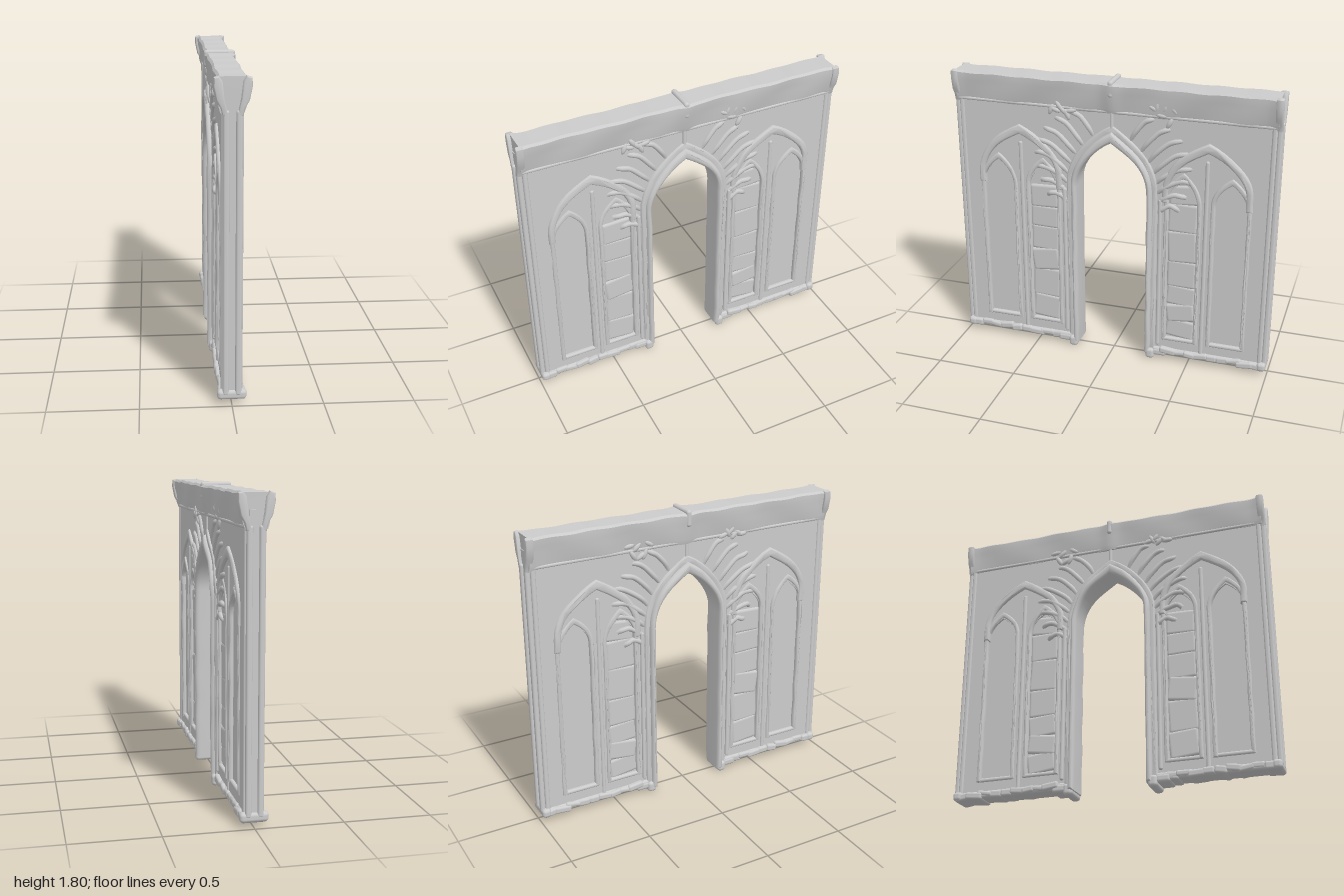
import * as THREE from 'three';
import { toCreasedNormals } from 'three/addons/utils/BufferGeometryUtils.js';
import { RoundedBoxGeometry } from 'three/addons/geometries/RoundedBoxGeometry.js';

const stone = new THREE.MeshStandardMaterial({ color: 0xcccccc, side: THREE.DoubleSide });
let seed = 7;
const rand = () => ((seed = (seed * 16807) % 2147483647) / 2147483647);

// weathering: nudge every vertex by a smooth function of its position
function wear(geo, amp) {
  const p = geo.attributes.position;
  for (let i = 0; i < p.count; i++) {
    const x = p.getX(i), y = p.getY(i), z = p.getZ(i);
    p.setXYZ(i,
      x + amp * Math.sin(y * 19 + z * 13),
      y + amp * 0.7 * Math.sin(z * 27 + x * 9),
      z + amp * 0.7 * Math.sin(y * 23 + x * 11));
  }
  return geo;
}

const shapeOf = (pts) => new THREE.Shape(pts.map(([x, y]) => new THREE.Vector2(x, y)));

// pointed-arch outline in (z, y), from one foot over the apex to the other
function archPts(c, hw, foot, spring, apex) {
  const half = [];
  for (let i = 0; i < 8; i++) half.push([hw, foot + (spring - foot) * i / 8]);
  const ctrl = spring + (apex - spring) * 0.58;
  for (let i = 0; i <= 10; i++) {
    const t = i / 10, s = 1 - t;
    half.push([hw * (s * s + 2 * s * t), s * s * spring + 2 * s * t * ctrl + t * t * apex]);
  }
  const right = half.map(([z, y]) => new THREE.Vector2(c + z, y));
  const left = half.slice(0, -1).reverse().map(([z, y]) => new THREE.Vector2(c - z, y));
  return [...right, ...left];
}

// extrude a (z, y) shape through the wall, centred on x = 0
function slab(shape, half, bevel = 0, amp = 0) {
  const geo = new THREE.ExtrudeGeometry(shape, {
    depth: 2 * (half - bevel), bevelEnabled: bevel > 0, bevelSize: bevel * 0.6,
    bevelOffset: -bevel * 0.6, bevelThickness: bevel, bevelSegments: 4,
  });
  geo.translate(0, 0, bevel - half).rotateY(-Math.PI / 2);
  return toCreasedNormals(wear(geo, amp), 0.8);
}

// arch-shaped moulding open at the foot
const archBand = (c, hw, width, foot, spring, apex, rise = width * 1.5) => new THREE.Shape([
  ...archPts(c, hw, foot, spring, apex),
  ...archPts(c, hw - width, foot, spring, apex - rise).reverse(),
]);

const wallShape = (edge, bottom, top) => new THREE.Shape([
  new THREE.Vector2(edge, bottom), new THREE.Vector2(edge, top),
  new THREE.Vector2(-edge, top), new THREE.Vector2(-edge, bottom),
  ...archPts(0, 0.235, bottom, 1.12, 1.44).reverse(),
]);

// frieze extruded along z, swelling at the keystone and towards both ends
function friezeGeometry() {
  const side = [[0.052, 1.6], [0.061, 1.63], [0.066, 1.69], [0.075, 1.73], [0.078, 1.775], [0.066, 1.788]];
  const profile = shapeOf([...side, ...side.map(([x, y]) => [-x, y]).reverse()]);
  const geo = new THREE.ExtrudeGeometry(profile, { depth: 1.95, steps: 80, bevelEnabled: false });
  geo.translate(0, 0, -0.975);
  const p = geo.attributes.position;
  for (let i = 0; i < p.count; i++) {
    const z = Math.abs(p.getZ(i));
    const swell = 0.2 * Math.exp(-((z / 0.045) ** 2)) + 0.15 * Math.exp(-(((z - 0.975) / 0.035) ** 2));
    p.setX(i, p.getX(i) * (1 + swell));
  }
  return toCreasedNormals(wear(geo, 0.003), 0.6);
}

export function createModel() {
  const model = new THREE.Group();
  const add = (name, geo, x = 0, y = 0, z = 0) => {
    const mesh = new THREE.Mesh(geo, stone);
    mesh.name = name;
    mesh.position.set(x, y, z);
    model.add(mesh);
    return mesh;
  };
  const block = (name, w, h, d, x, y, z, r = 0.012) =>
    add(name, new RoundedBoxGeometry(w, h, d, 3, r), x, y, z);

  // core and the tracery plate with its lancet recesses
  add('wallCore', slab(wallShape(0.98, 0.04, 1.7), 0.037));
  const plate = wallShape(0.965, 0.045, 1.62);
  for (const m of [1, -1]) {
    plate.holes.push(new THREE.Path(archPts(m * 0.73, 0.1, 0.16, 1.08, 1.23)));
    plate.holes.push(new THREE.Path(archPts(m * 0.44, 0.09, 0.16, 1.08, 1.22)));
  }
  add('traceryPlate', slab(plate, 0.051));

  // doorway moulding: rounded inner ring and a lower outer order
  add('doorMoulding', slab(archBand(0, 0.256, 0.037, 0.03, 1.12, 1.49, 0.07), 0.087, 0.03, 0.003), -0.003);
  add('doorOuterOrder', slab(archBand(0, 0.285, 0.045, 0.05, 1.13, 1.53, 0.06), 0.063, 0.016, 0.003));

  // frieze along the top with its lower string course
  add('frieze', friezeGeometry());
  block('stringCourse', 0.122, 0.02, 1.95, 0, 1.611, 0, 0.009);

  // keystone ridge over the apex and the slim stem beneath it
  block('keystone', 0.186, 0.1, 0.034, 0, 1.755, 0, 0.016);
  block('keystoneStem', 0.124, 0.2, 0.022, 0, 1.58, 0, 0.01);

  for (const m of [1, -1]) {
    // lancet frames, the large arch enclosing them and their sills
    add('outerLancetFrame', slab(archBand(m * 0.73, 0.122, 0.028, 0.14, 1.08, 1.28), 0.06, 0.014, 0.003));
    add('innerLancetFrame', slab(archBand(m * 0.44, 0.115, 0.028, 0.14, 1.08, 1.28), 0.06, 0.014, 0.003));
    add('enclosingArch', slab(archBand(m * 0.585, 0.272, 0.042, 1.08, 1.16, 1.48), 0.066, 0.02, 0.003));
    block('outerLancetSill', 0.116, 0.026, 0.24, 0, 0.152, m * 0.73);
    block('innerLancetSill', 0.116, 0.026, 0.23, 0, 0.152, m * 0.44);
    block('mullion', 0.12, 1.3, 0.026, 0, 0.72, m * 0.58, 0.012);
    block('doorShaft', 0.13, 1.0, 0.024, 0, 0.6, m * 0.302, 0.011);
    block('plinth', 0.132, 0.045, 0.71, 0, 0.062, m * 0.62, 0.018);

    // end post: two ribs with a groove between, flared capital lips and a foot
    for (const s of [1, -1]) {
      block('endPostRib', 0.034, 1.56, 0.032, s * 0.034, 0.84, m * 0.98, 0.013);
      block('endPostBead', 0.026, 1.55, 0.03, s * 0.046, 0.84, m * 0.952);
      const lip = shapeOf([[0.022, 1.59], [0.052, 1.59], [0.062, 1.63], [0.085, 1.67], [0.099, 1.74],
        [0.097, 1.785], [0.07, 1.792], [0.052, 1.765], [0.042, 1.68]].map(([x, y]) => [s * x, y]));
      const lipGeo = new THREE.ExtrudeGeometry(lip, {
        depth: 0.022, bevelSize: 0.008, bevelOffset: -0.008, bevelThickness: 0.01, bevelSegments: 3,
      });
      add('capitalLip', toCreasedNormals(lipGeo.translate(0, 0, -0.011), 0.8), 0, 0, m * 0.975);
    }
    block('endFoot', 0.16, 0.055, 0.055, 0, 0.062, m * 0.966, 0.02);
    block('doorFoot', 0.165, 0.07, 0.056, 0, 0.037, m * 0.256, 0.02);
    block('doorFootStep', 0.14, 0.05, 0.09, 0, 0.05, m * 0.315, 0.018);

    // worn rubble along the plinth
    for (let i = 0; i < 9; i++) {
      const b = block('plinthStone', 0.13 + rand() * 0.025, 0.03 + rand() * 0.02, 0.07 + rand() * 0.04,
        0, 0.056 + rand() * 0.014, m * (0.37 + i * 0.07), 0.014);
      b.rotation.x = (rand() - 0.5) * 0.4;
    }

    // low irregular stones filling the inner lancet
    let y = 0.17;
    while (y < 1.08) {
      const h = 0.11 + rand() * 0.09;
      const b = block('rubbleStone', 0.086 + rand() * 0.014, h + 0.02, 0.19, 0, y + h / 2, m * 0.44, 0.022);
      b.rotation.x = (rand() - 0.5) * 0.3;
      y += h;
    }

    // curved ribs fanning out from the door arch, on both faces
    for (const s of [1, -1]) {
      for (let i = 0; i < 8; i++) {
        const t = i / 7;
        const z0 = 0.285 - 0.17 * t ** 3, y0 = 1.0 + 0.44 * t;
        const len = 0.13 + 0.13 * Math.sin(t * 2.6), ang = 0.25 + 0.55 * t;
        const pts = [0, 0.2, 0.6, 0.85, 1].map((k, j) => new THREE.Vector3(
          s * (j === 0 || j === 4 ? 0.036 : 0.05),
          y0 + len * k * Math.sin(ang) + 0.14 * k * (1 - k) + 0.01 * rand(),
          m * (z0 + len * k * Math.cos(ang))));
        add('fanRib', new THREE.TubeGeometry(new THREE.CatmullRomCurve3(pts), 14, 0.016, 8));
      }
      // broken foliage below and across the string course
      for (let i = 0; i < 6; i++) {
        const leaf = add('foliage', new THREE.SphereGeometry(0.034, 10, 7),
          s * 0.055, 1.57 + rand() * 0.1, m * (0.25 + i * 0.025));
        leaf.scale.set(0.4, 0.45, 1.1);
        leaf.rotation.x = rand() * Math.PI;
      }
    }
  }
  // rest the lowest feet on the ground
  model.position.y = -0.002;
  return model;
}
